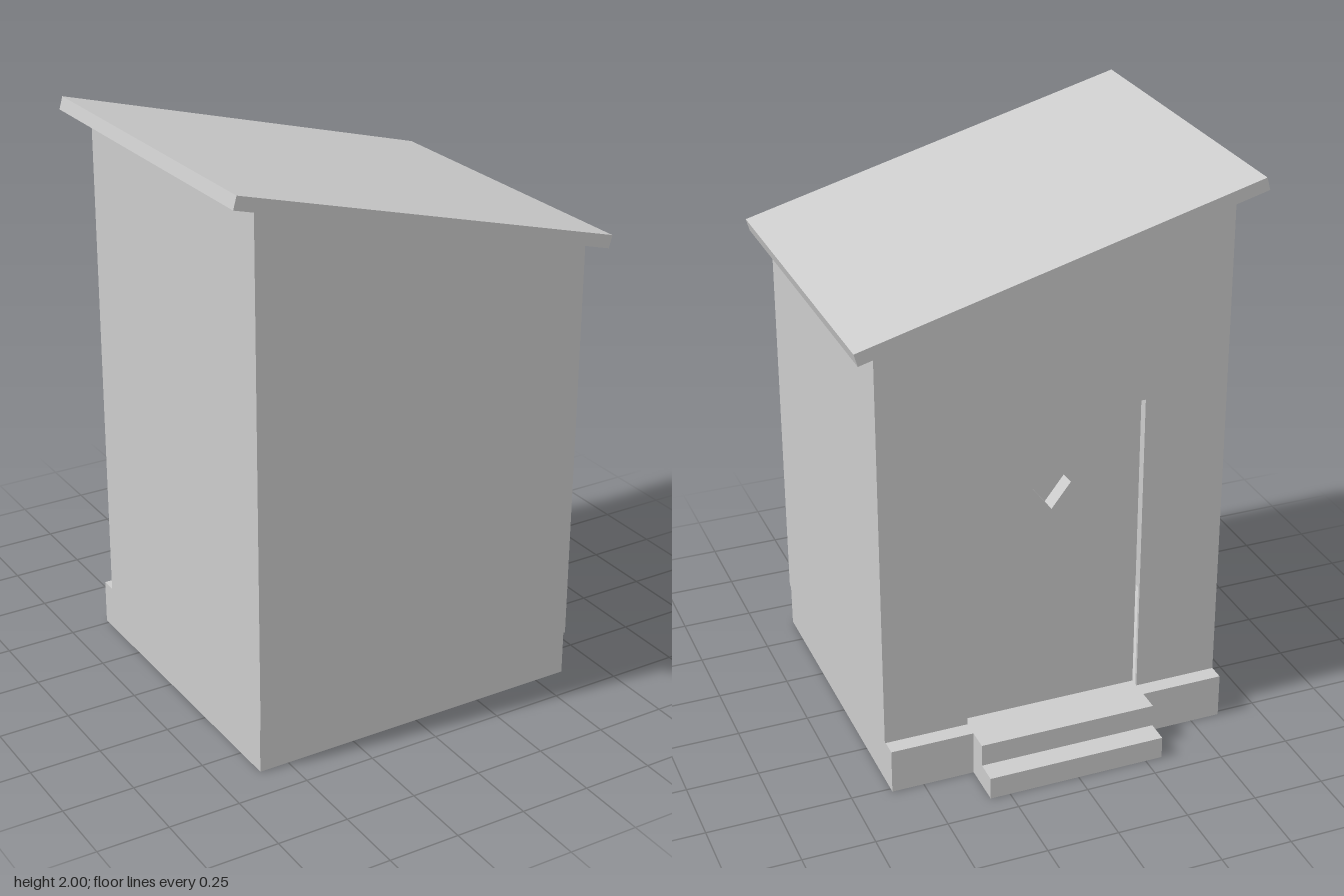
import * as THREE from 'three';

const material = new THREE.MeshStandardMaterial({ color: 0xcccccc, flatShading: true, side: THREE.DoubleSide });

// Main dimensions
const LEFT = 0.615, RIGHT = -0.605, FRONT = 0.635, BACK = -0.46;
const FLOOR = 0.16, WALL = 0.012;
const DOOR = { x0: -0.31, x1: 0.32, top: 1.27 };

// Height of the sloping roof underside at a given x
const eave = (x) => 1.955 - (x + 0.695) * 0.2695;

function add(group, name, geometry) {
  const mesh = new THREE.Mesh(geometry, material);
  mesh.name = name;
  group.add(mesh);
  return mesh;
}

// Box given by its extents along each axis
function box(x0, x1, y0, y1, z0, z1) {
  return new THREE.BoxGeometry(x1 - x0, y1 - y0, z1 - z0)
    .translate((x0 + x1) / 2, (y0 + y1) / 2, (z0 + z1) / 2);
}

// Outline in the xy plane, extruded from z0 to z1
function slab(points, z0, z1, hole) {
  const shape = new THREE.Shape(points.map(([x, y]) => new THREE.Vector2(x, y)));
  if (hole) shape.holes.push(new THREE.Path(hole.map(([x, y]) => new THREE.Vector2(x, y))));
  return new THREE.ExtrudeGeometry(shape, { depth: z1 - z0, bevelEnabled: false }).translate(0, 0, z0);
}

export function createModel() {
  const hut = new THREE.Group();
  hut.name = 'hut';

  // Plinth and the two entrance steps
  add(hut, 'plinth', box(-0.605, 0.612, 0, FLOOR, -0.517, 0.63));
  add(hut, 'upperStep', box(DOOR.x0, DOOR.x1, 0, FLOOR, -0.595, -0.517));
  add(hut, 'lowerStep', box(DOOR.x0, DOOR.x1, 0, 0.08, -0.675, -0.595));

  // Thin walls around a hollow room, tops following the roof
  const top = [[LEFT, eave(LEFT)], [RIGHT, eave(RIGHT)]];
  add(hut, 'frontWall', slab([[RIGHT, FLOOR], [LEFT, FLOOR], ...top], FRONT - WALL, FRONT));
  add(hut, 'backWall', slab([
    [RIGHT, FLOOR], [DOOR.x0, FLOOR], [DOOR.x0, DOOR.top], [DOOR.x1, DOOR.top],
    [DOOR.x1, FLOOR], [LEFT, FLOOR], ...top,
  ], BACK, BACK + WALL));
  for (const [name, a, b] of [['leftWall', LEFT - WALL, LEFT], ['rightWall', RIGHT, RIGHT + WALL]]) {
    add(hut, name, slab([[a, FLOOR], [b, FLOOR], [b, eave(b)], [a, eave(a)]], BACK + WALL, FRONT - WALL));
  }

  // Recessed door with a diamond peephole
  const cx = 0.005, cy = 1.0, w = 0.068, h = 0.088;
  add(hut, 'door', slab(
    [[DOOR.x0, FLOOR], [DOOR.x1, FLOOR], [DOOR.x1, DOOR.top], [DOOR.x0, DOOR.top]],
    BACK + 0.033, BACK + 0.09,
    [[cx, cy - h], [cx - w, cy], [cx, cy + h], [cx + w, cy]],
  ));

  // Overhanging single-pitch roof
  add(hut, 'roof', slab([[-0.695, 1.957], [0.68, 1.585], [0.692, 1.628], [-0.683, 2]], -0.51, 0.675));

  return hut;
}
